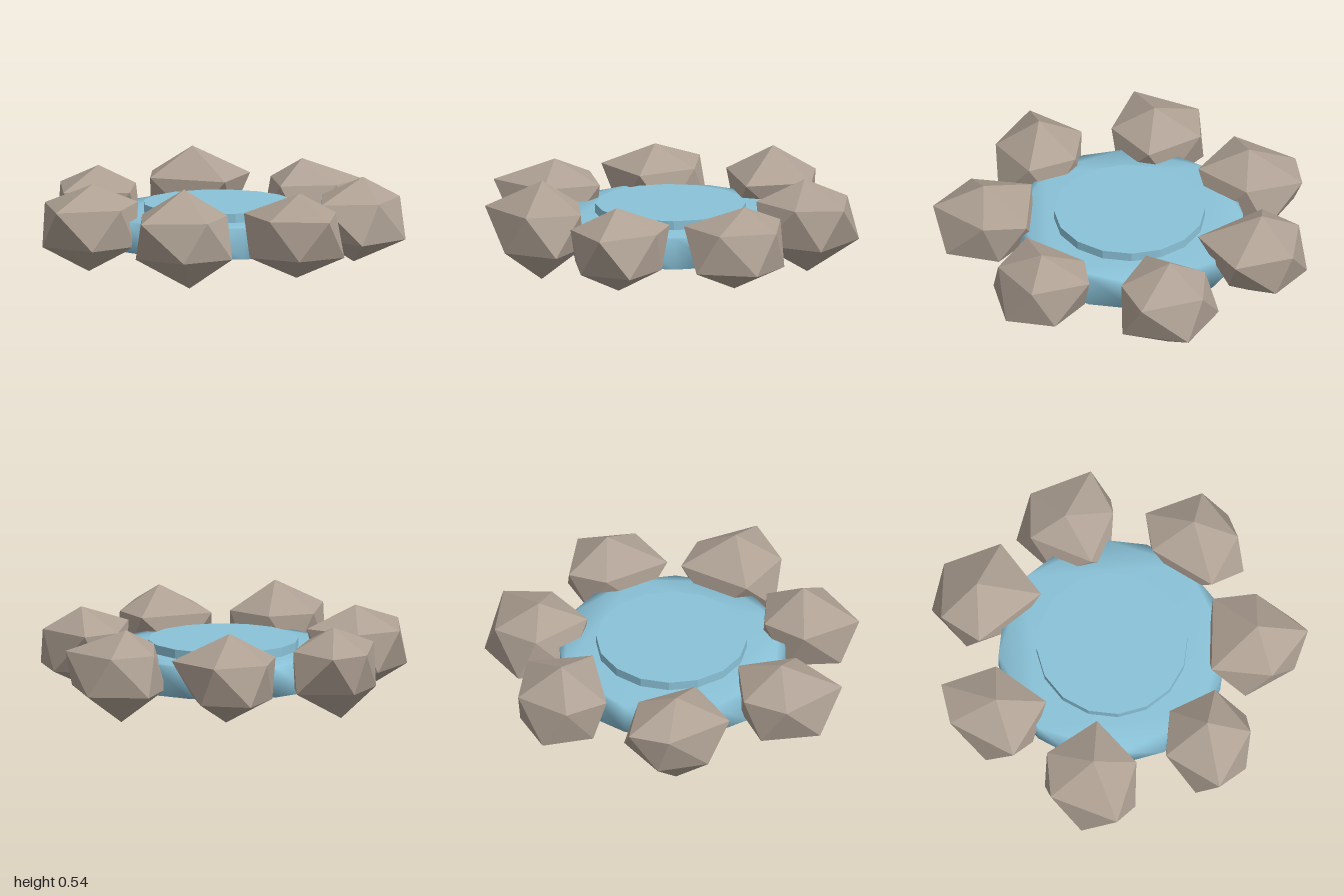
import * as THREE from 'three';
import { mergeVertices } from 'three/addons/utils/BufferGeometryUtils.js';

const stone = new THREE.MeshStandardMaterial({ color: 0xafa194 });
stone.name = 'stone';
const water = new THREE.MeshStandardMaterial({ color: 0x8ac2d8 });
water.name = 'water';

// Faceted boulder: peak, five upper corners, five lower corners, base point.
// upper holds x, z offsets and lower holds radii, in hundredths.
function makeRock([px, py, pz], [bx, by, bz], upper, lower) {
  const pts = [[px, py, pz], [bx, by, bz]];
  for (const [x, z] of upper) pts.push([px + x / 100, 0.385, pz + z / 100]);
  lower.forEach((r, k) => {
    const a = (k + 0.5) * Math.PI * 0.4;
    pts.push([px + (r / 100) * Math.cos(a), 0.175, pz + (r / 100) * Math.sin(a)]);
  });
  const index = [];
  for (let k = 0; k < 5; k++) {
    const n = (k + 1) % 5;
    const u = 2 + k, un = 2 + n, l = 7 + k, ln = 7 + n;
    index.push(0, un, u, u, un, l, l, un, ln, 1, l, ln);
  }
  let geo = new THREE.BufferGeometry();
  geo.setAttribute('position', new THREE.Float32BufferAttribute(pts.flat(), 3));
  geo.setIndex(index);
  geo = geo.toNonIndexed();
  geo.computeVertexNormals();
  return new THREE.Mesh(geo, stone);
}

// Upright sixteen-sided slab with soft shading running over its edges
function makeSoftSlab(radius, height) {
  const outline = [];
  for (let i = 0; i < 16; i++) {
    const a = (i * Math.PI) / 8;
    outline.push(new THREE.Vector2(radius * Math.cos(a), radius * Math.sin(a)));
  }
  let geo = new THREE.ExtrudeGeometry(new THREE.Shape(outline), { depth: height, bevelEnabled: false });
  geo.rotateX(-Math.PI / 2);
  geo.deleteAttribute('normal');
  geo.deleteAttribute('uv');
  geo = mergeVertices(geo);
  geo.computeVertexNormals();
  return geo;
}

export function createModel() {
  const model = new THREE.Group();
  model.name = 'stoneRingPool';

  // Pool body
  const pool = new THREE.Mesh(makeSoftSlab(0.605, 0.165), water);
  pool.name = 'poolBody';
  pool.position.set(-0.055, 0.143, -0.022);
  model.add(pool);

  // Raised water disc with crisp facets
  const discGeo = new THREE.CylinderGeometry(0.402, 0.402, 0.06, 16).toNonIndexed();
  discGeo.computeVertexNormals();
  const disc = new THREE.Mesh(discGeo, water);
  disc.name = 'waterSurface';
  disc.position.set(-0.055, 0.327, -0.022);
  model.add(disc);

  // Seven boulders around the rim
  const rocks = [
    makeRock([0.72, 0.51, 0], [0.69, 0.05, 0],
      [[27, 0], [6, 24], [-26, 18], [-22, -22], [1, -23]], [23, 28, 27, 24, 25]),
    makeRock([0.41, 0.54, 0.535], [0.445, 0.01, 0.525],
      [[23, 1], [4, 31], [-23, 11], [-19, -14], [6, -24]], [24, 27, 22, 22, 27]),
    makeRock([-0.21, 0.5, 0.69], [-0.23, 0.03, 0.7],
      [[23, -2], [10, 31], [-24, 14], [-24, -11], [4, -27]], [26, 28, 26, 22, 24]),
    makeRock([-0.7, 0.5, 0.3], [-0.75, 0.015, 0.32],
      [[27, -1], [7, 28], [-25, 7], [-28, -15], [2, -23]], [23, 23, 24, 28, 24]),
    makeRock([-0.75, 0.535, -0.35], [-0.68, 0.04, -0.335],
      [[34, 3], [-1, 27], [-20, 12], [-16, -18], [15, -27]], [24, 23, 24, 22, 22]),
    makeRock([-0.25, 0.5, -0.71], [-0.235, 0, -0.73],
      [[26, -4], [12, 23], [-19, 7], [-17, -18], [16, -28]], [28, 22, 26, 29, 32]),
    makeRock([0.43, 0.5, -0.62], [0.43, 0.05, -0.56],
      [[23, 6], [7, 32], [-23, 10], [-25, -11], [6, -20]], [31, 25, 23, 21, 24]),
  ];
  rocks.forEach((rock, i) => {
    rock.name = `rimRock${i + 1}`;
    model.add(rock);
  });
  return model;
}
